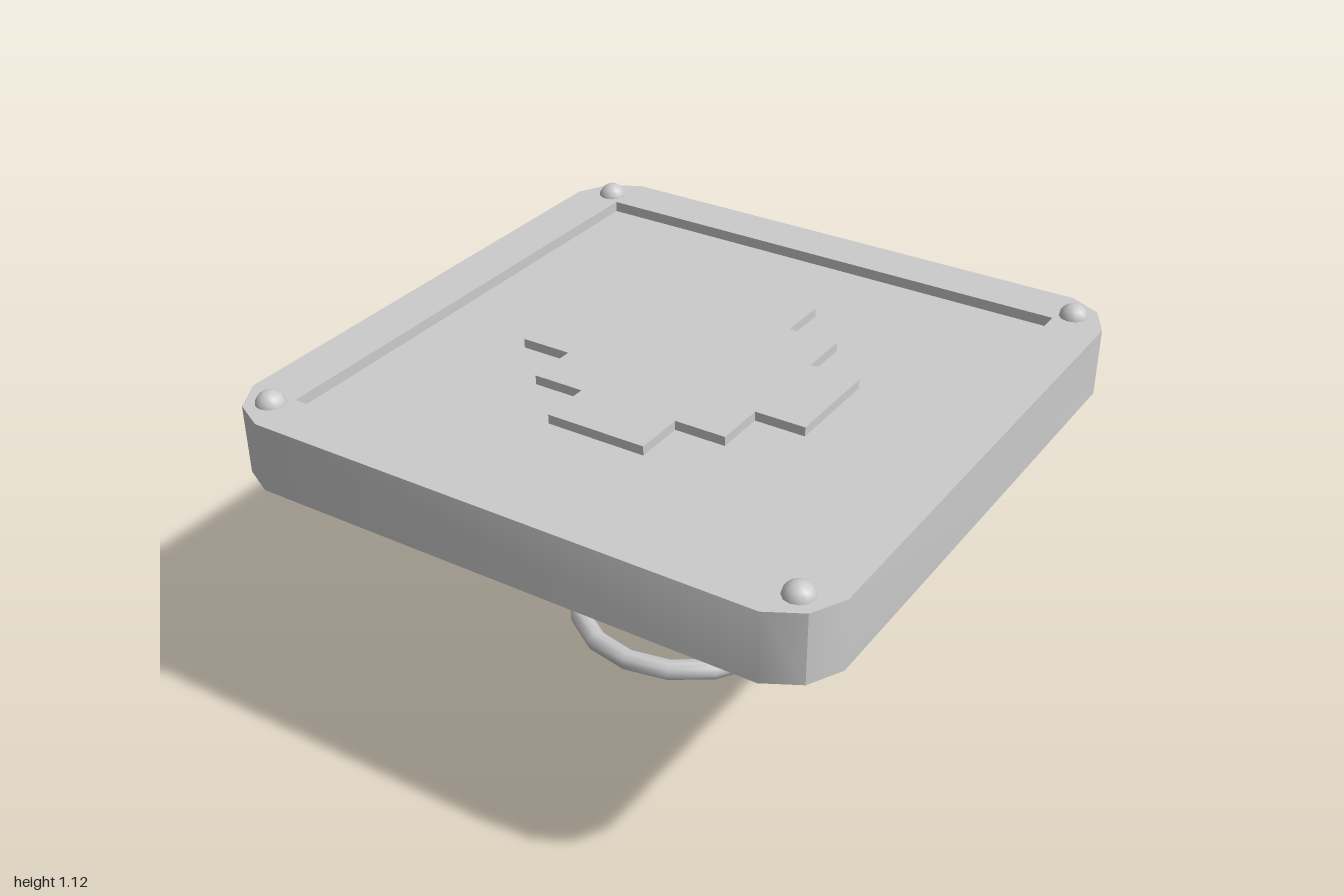
import * as THREE from 'three';
import { toCreasedNormals } from 'three/addons/utils/BufferGeometryUtils.js';

const smooth = new THREE.MeshStandardMaterial({ color: 0xcccccc });
const faceted = new THREE.MeshStandardMaterial({ color: 0xcccccc, flatShading: true });

// Repeats a corner outline (first quadrant) through four quarter turns
function fourfold(corner) {
  const points = [];
  for (let q = 0; q < 4; q++) {
    const turn = (q * Math.PI) / 2;
    for (const [x, y] of corner) {
      points.push(new THREE.Vector2(x, y).rotateAround(new THREE.Vector2(), turn));
    }
  }
  return points;
}

// Extrudes a plan shape upward from y0 to y1
function slab(shape, y0, y1) {
  const geo = new THREE.ExtrudeGeometry(shape, { depth: y1 - y0, bevelEnabled: false });
  geo.rotateX(-Math.PI / 2);
  geo.translate(0, y0, 0);
  return toCreasedNormals(geo, 0.55);
}

export function createModel() {
  const model = new THREE.Group();
  const add = (name, geo, mat, x = 0, y = 0, z = 0) => {
    const mesh = new THREE.Mesh(geo, mat);
    mesh.name = name;
    mesh.position.set(x, y, z);
    model.add(mesh);
  };

  // Square frame with blunted corners and a square opening
  const frame = new THREE.Shape(fourfold([[1, 0.838], [0.942, 0.945], [0.838, 1]]));
  frame.holes.push(new THREE.Path(fourfold([[0.835, 0.835]]).reverse()));
  add('frame', slab(frame, 0.85, 1.075), smooth);

  // Panel recessed on both faces
  add('panel', new THREE.BoxGeometry(1.67, 0.155, 1.67), smooth, 0, 0.9625, 0);

  // Stepped plate standing proud of the panel above and below
  const a = 0.165, b = 0.333, c = 0.5;
  const plate = new THREE.Shape(fourfold([[c, a], [b, a], [b, b], [a, b], [a, c]]));
  add('steppedPlate', slab(plate, 0.855, 1.07), smooth);

  // Corner studs
  for (const x of [-0.885, 0.885]) {
    for (const z of [-0.885, 0.885]) {
      add('stud', new THREE.SphereGeometry(0.048, 12, 8), smooth, x, 1.067, z);
    }
  }

  // Floating rings, shrinking downward
  for (const [radius, tube, y] of [[0.545, 0.05, 0.69], [0.452, 0.043, 0.418], [0.363, 0.034, 0.148]]) {
    const ring = new THREE.TorusGeometry(radius, tube, 10, 16);
    ring.rotateX(-Math.PI / 2);
    add('ring', ring, smooth, 0, y, 0);
  }

  // Six-sided crystal, pointed at both ends, corners on the x axis
  const profile = [[0, 0], [0.155, 0.18], [0.155, 0.54], [0, 0.72]];
  const crystal = new THREE.LatheGeometry(
    profile.map(([r, y]) => new THREE.Vector2(r, y)), 6, Math.PI / 2);
  add('crystal', crystal, faceted);

  return model;
}
